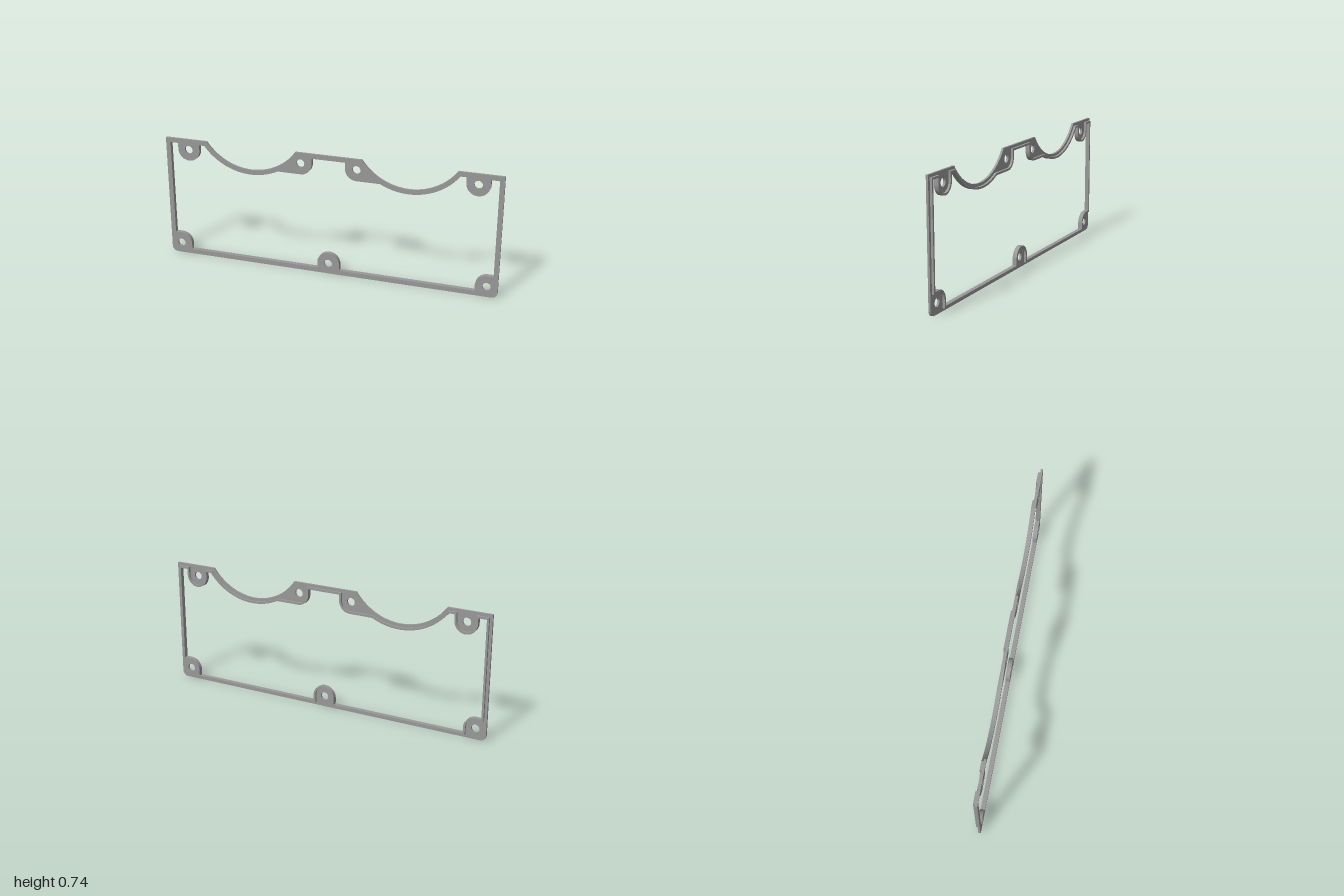
import * as THREE from 'three';
import { toCreasedNormals } from 'three/addons/utils/BufferGeometryUtils.js';

const PI = Math.PI;
const TOP = 0.738;
const BAND = 0.028;            // width of the frame strip
const TAB_R = 0.067, HOLE_R = 0.024;
const LOW_Y = 0.064, HIGH_Y = 0.674;
const CORNER_X = 0.936, OUTER_X = 0.857, INNER_X = 0.166;
const ARC_X = 0.47, ARC_Y = 0.926, ARC_R = 0.331;

// Right half of a closed contour, mirrored to the left
function mirrored(path) {
  const half = path.getPoints(14);
  const left = half.filter(p => p.x > 1e-5).reverse().map(p => new THREE.Vector2(-p.x, p.y));
  return half.concat(left);
}

// Outer edge with rounded bottom corners and scooped top
function outerContour() {
  const p = new THREE.Path();
  const r = 0.035, a = Math.asin((TOP - ARC_Y) / ARC_R);
  p.moveTo(0, 0);
  p.absarc(1 - r, r, r, -PI / 2, 0, false);
  p.lineTo(1, TOP);
  p.absarc(ARC_X, ARC_Y, ARC_R, a, -PI - a, true);
  p.lineTo(0, TOP);
  return mirrored(p);
}

// Inner edge running round the screw tabs, moved into the frame by d
function innerContour(d) {
  const p = new THREE.Path();
  const bottom = BAND - d, side = 1 - BAND + d, top = TOP - BAND + d;
  const r = TAB_R - d, R = ARC_R + BAND - d;
  const start = Math.asin((top - ARC_Y) / R);
  const end = -PI - Math.asin((HIGH_Y - r - ARC_Y) / R);
  p.moveTo(0, LOW_Y + r);
  p.absarc(0, LOW_Y, r, PI / 2, 0, true);
  p.lineTo(r, bottom);
  p.lineTo(CORNER_X - r, bottom);
  p.absarc(CORNER_X, LOW_Y, r, PI, PI / 2, true);
  p.lineTo(side, LOW_Y + r);
  p.lineTo(side, top);
  p.lineTo(OUTER_X + r, top);
  p.absarc(OUTER_X, HIGH_Y, r, 0, -PI, true);
  p.lineTo(OUTER_X - r, top);
  p.absarc(ARC_X, ARC_Y, R, start, end, true);
  p.absarc(INNER_X, HIGH_Y, r, -PI / 2, -PI, true);
  p.lineTo(INNER_X - r, top);
  p.lineTo(0, top);
  return mirrored(p);
}

function extrude(shape, depth, z) {
  const geo = new THREE.ExtrudeGeometry(shape, { depth, bevelEnabled: false, curveSegments: 16 });
  geo.translate(0, 0, z);
  return toCreasedNormals(geo, 0.5);
}

export function createModel() {
  const group = new THREE.Group();
  group.name = 'gasketFrame';
  const grey = new THREE.MeshStandardMaterial({ color: 0x999999 });
  grey.name = 'grey';

  const add = (name, geo) => {
    const mesh = new THREE.Mesh(geo, grey);
    mesh.name = name;
    group.add(mesh);
  };

  // Front plate with screw holes in its tabs
  const plate = new THREE.Shape(outerContour());
  plate.holes.push(new THREE.Path(innerContour(0)));
  const screws = [[0, LOW_Y]];
  for (const s of [-1, 1]) {
    screws.push([s * CORNER_X, LOW_Y], [s * OUTER_X, HIGH_Y], [s * INNER_X, HIGH_Y]);
  }
  for (const [x, y] of screws) {
    plate.holes.push(new THREE.Path().absarc(x, y, HOLE_R, 0, 2 * PI, true));
  }
  add('frontPlate', extrude(plate, 0.013, 0));

  // Thin raised lip on the back, following the inner edge
  const lip = new THREE.Shape(innerContour(0.012));
  lip.holes.push(new THREE.Path(innerContour(0)));
  add('backLip', extrude(lip, 0.013, -0.013));

  return group;
}
